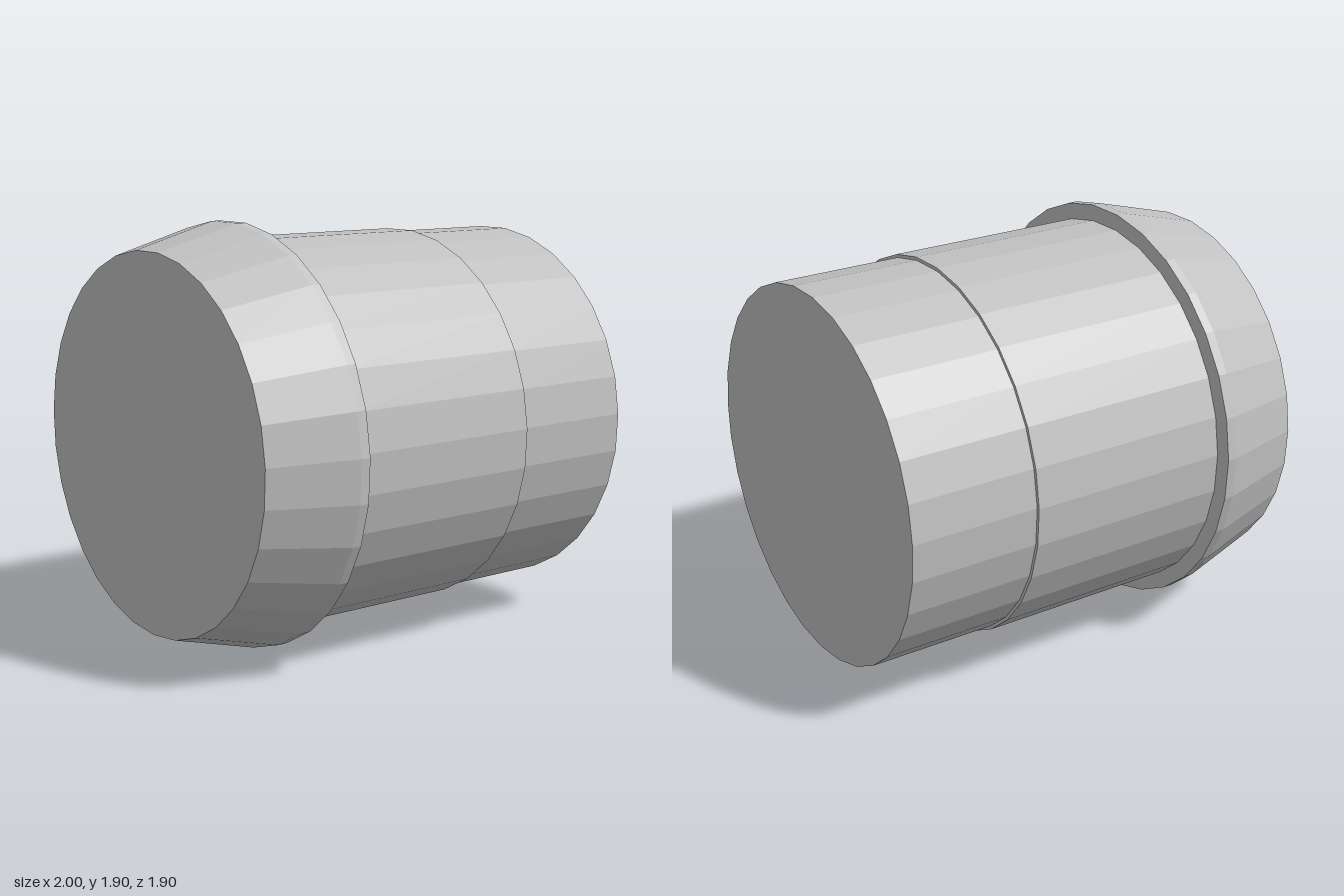
import * as THREE from 'three';

const SIDES = 31;
const MAX_RADIUS = 0.951;

export function createModel() {
  const model = new THREE.Group();
  model.name = 'steppedPlug';

  const greyMetal = new THREE.MeshStandardMaterial({ color: 0xc0c0c0, flatShading: true });
  greyMetal.name = 'greyMetal';

  // Faceted ring turned about the x axis from [radius, x] pairs, one corner pointing down
  function turned(name, profile) {
    const points = profile.map(([r, x]) => new THREE.Vector2(r, x));
    const geometry = new THREE.LatheGeometry(points, SIDES, Math.PI / 2);
    geometry.rotateZ(-Math.PI / 2);
    const mesh = new THREE.Mesh(geometry, greyMetal);
    mesh.name = name;
    mesh.position.y = MAX_RADIUS;
    model.add(mesh);
  }

  // Tapered collar with closed end, short rim and shoulder
  turned('collar', [[0, -1], [0.843, -1], [MAX_RADIUS, -0.6], [MAX_RADIUS, -0.555], [0.876, -0.555]]);

  // Main barrel with the small step at its end
  turned('barrel', [[0.876, -0.555], [0.876, 0.4], [0.861, 0.4]]);

  // Slightly narrower end section, closed
  turned('endSection', [[0.861, 0.4], [0.861, 1], [0, 1]]);

  return model;
}
